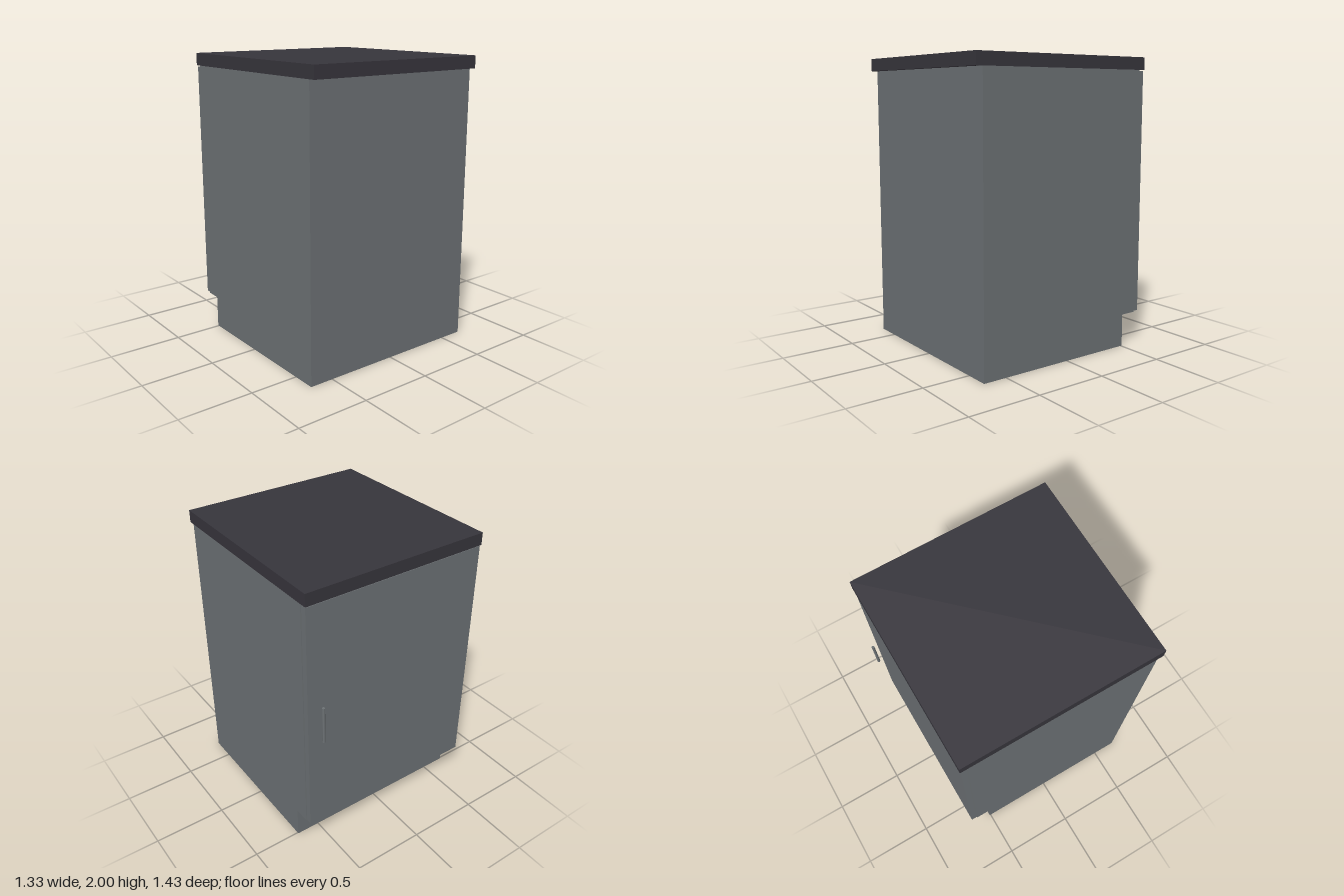
import * as THREE from 'three';

export function createModel() {
  const model = new THREE.Group();
  model.name = 'baseCabinet';

  const mat = (name, color) => {
    const m = new THREE.MeshStandardMaterial({ color });
    m.name = name;
    return m;
  };
  const grey = mat('cabinetGrey', 0x6c7174);
  const dark = mat('worktopDark', 0x37353c);

  const add = (name, geometry, material, x, y, z) => {
    const mesh = new THREE.Mesh(geometry, material);
    mesh.name = name;
    mesh.position.set(x, y, z);
    model.add(mesh);
    return mesh;
  };
  // Box given by its lower and upper corners
  const block = (name, material, [x0, y0, z0], [x1, y1, z1]) =>
    add(name, new THREE.BoxGeometry(x1 - x0, y1 - y0, z1 - z0), material,
      (x0 + x1) / 2, (y0 + y1) / 2, (z0 + z1) / 2);

  const W = 0.667; // half width

  // Carcass: side profile with a recessed plinth, extruded across the width.
  // Shape x runs along -z, so the rotation turns it to the door side.
  const profile = new THREE.Shape([
    [-0.667, 0], [0.508, 0], [0.508, 0.226], [0.618, 0.226], [0.618, 1.915], [-0.667, 1.915],
  ].map(([x, y]) => new THREE.Vector2(x, y)));
  const carcass = new THREE.ExtrudeGeometry(profile, { depth: 2 * W, bevelEnabled: false });
  carcass.rotateY(Math.PI / 2);
  add('carcass', carcass, grey, -W, 0, 0);

  // Door, slightly smaller than the opening side
  block('door', grey, [-W + 0.005, 0.231, -0.66], [W - 0.005, 1.907, -0.62]);

  // Worktop overhanging on the +z side
  block('worktop', dark, [-W, 1.915, -0.667], [W, 2, 0.713]);

  // Slim bar handle standing off the door
  add('handle', new THREE.CylinderGeometry(0.01, 0.01, 0.265, 12), grey, 0.576, 1.07, -0.703);

  return model;
}
